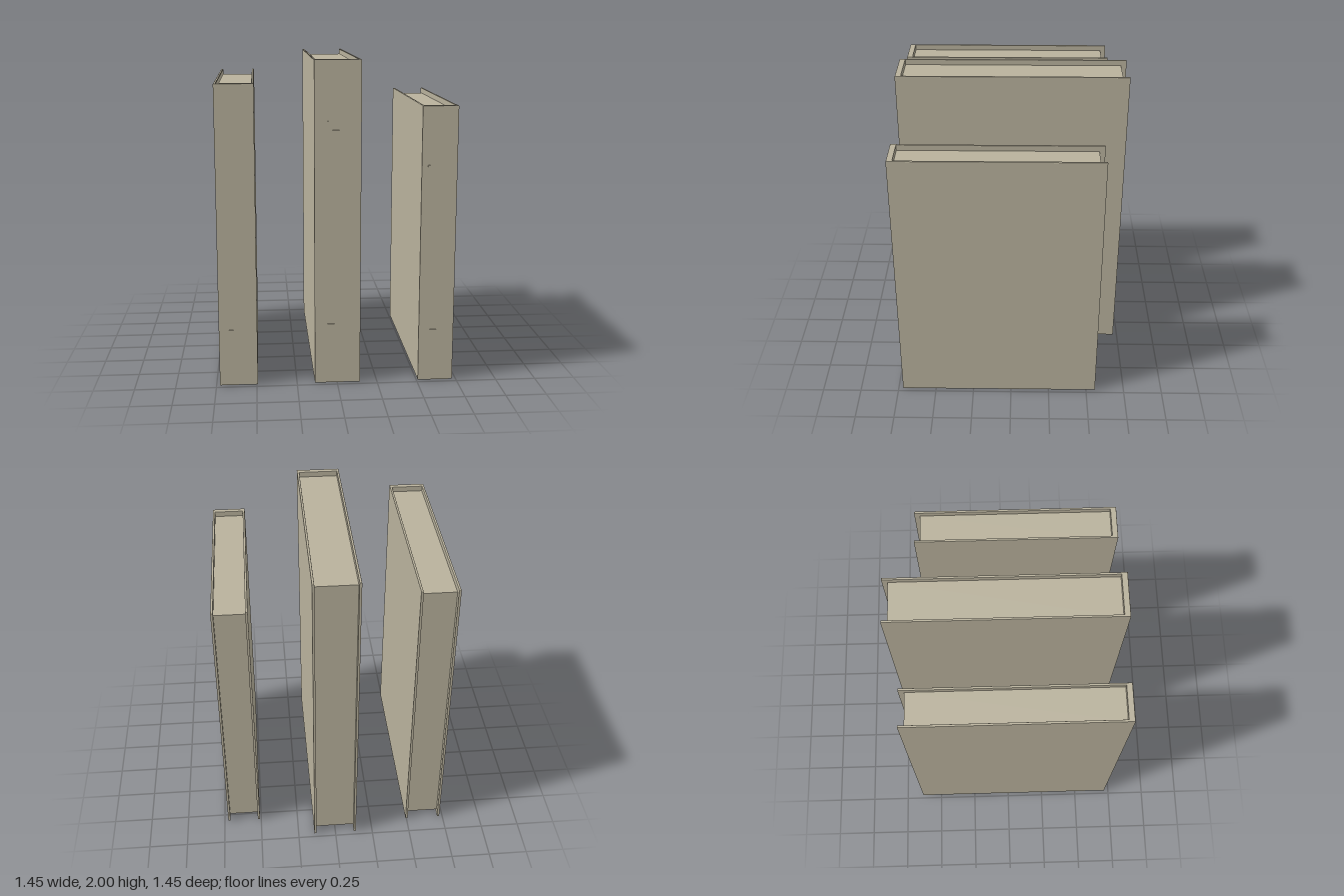
import * as THREE from 'three';

const BOARD = 0.0145;   // cover board thickness
const SPINE = 0.037;    // spine thickness
const LIP = 0.035;      // how far the boards overhang the pages
const FRONT = 0.72;     // z of the spine face
const BEVEL = 0.004;

const clothMaterial = new THREE.MeshStandardMaterial({ color: 0xb8b19c });
clothMaterial.name = 'beige cloth';

function box(name, w, h, d, x, y, z) {
  const mesh = new THREE.Mesh(new THREE.BoxGeometry(w, h, d), clothMaterial);
  mesh.name = name;
  mesh.position.set(x, y, z);
  return mesh;
}

// U-shaped case: two boards joined by the spine, seen from above and raised upward
function caseGeometry(w, h, back) {
  const a = w / 2, b = a - BOARD;
  const shape = new THREE.Shape([
    [-a, -FRONT], [a, -FRONT], [a, -back], [b, -back],
    [b, SPINE - FRONT], [-b, SPINE - FRONT], [-b, -back], [-a, -back],
  ].map(([x, y]) => new THREE.Vector2(x, y)));
  const geometry = new THREE.ExtrudeGeometry(shape, {
    depth: h - 2 * BEVEL,
    bevelThickness: BEVEL, bevelSize: BEVEL, bevelOffset: -BEVEL, bevelSegments: 2,
  });
  return geometry.rotateX(-Math.PI / 2).translate(0, BEVEL, 0);
}

function createBook(name, x, w, h, back) {
  const book = new THREE.Group();
  book.name = name;
  book.position.x = x;

  const cover = new THREE.Mesh(caseGeometry(w, h, back), clothMaterial);
  cover.name = 'cover';
  book.add(cover);

  // Page block, set in from the top, bottom and fore edge
  const pageBack = back + LIP, pageFront = FRONT - SPINE + 0.002;
  book.add(box('pages', w - 2 * BOARD + 0.002, h - 2 * LIP, pageFront - pageBack,
    0, h / 2, (pageFront + pageBack) / 2));

  // Raised bands on the spine: width and height as fractions of the book
  [['lowerBand', 0.47, 0.19], ['titleBand', 0.65, 0.79], ['upperBand', 0.45, 0.817]]
    .forEach(([band, width, level]) =>
      book.add(box(band, w * width, 0.01, 0.006, 0, h * level, FRONT)));
  return book;
}

export function createModel() {
  const model = new THREE.Group();
  model.name = 'books';
  model.add(
    createBook('rightBook', -0.611, 0.235, 1.863, -0.635),
    createBook('middleBook', 0.002, 0.282, 2, -0.723),
    createBook('leftBook', 0.617, 0.217, 1.726, -0.559),
  );
  return model;
}
